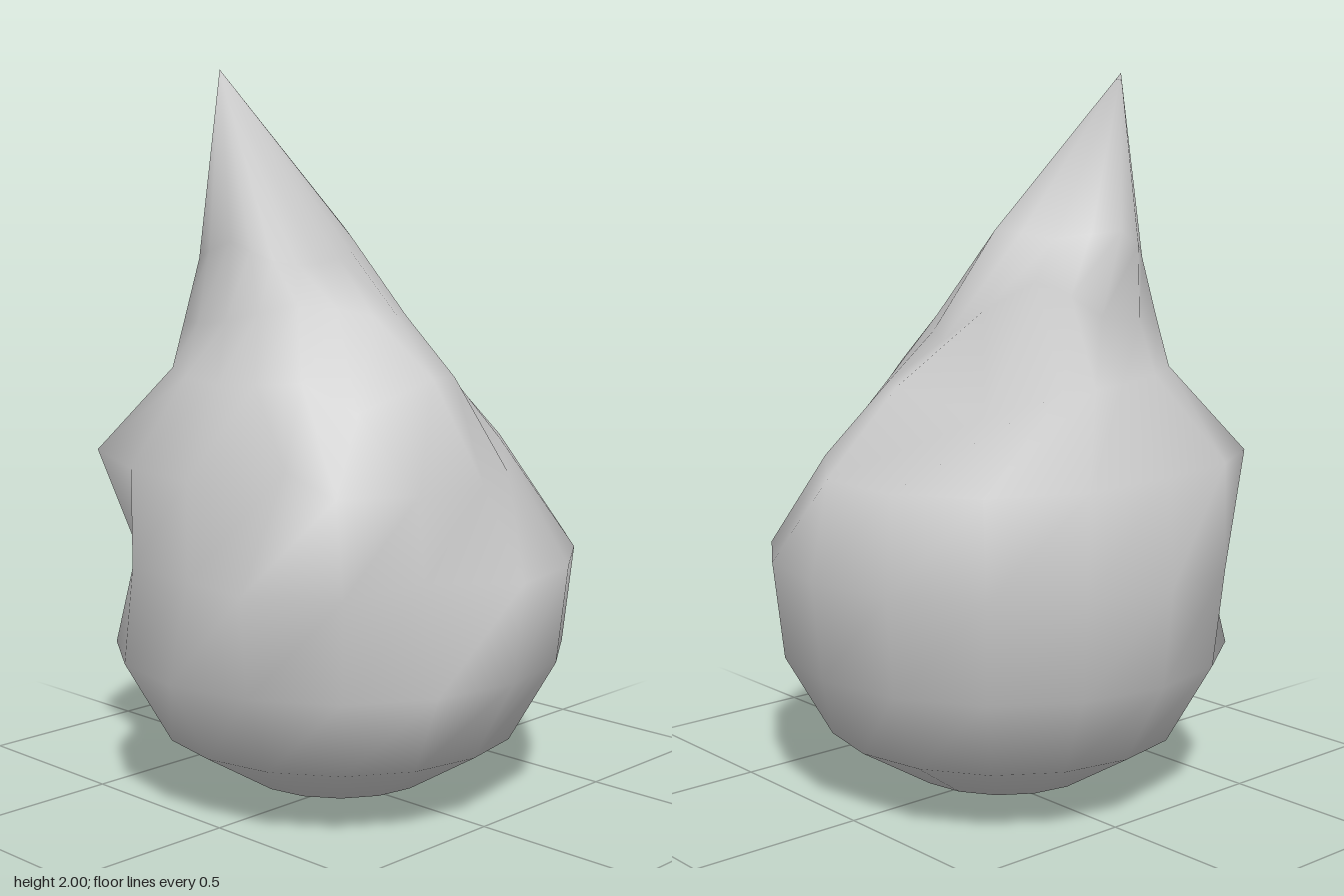
import * as THREE from 'three';

const SIDES = 16;

// Eight control points (right, then round by the front) become a ring of 16;
// pulls move single corners of it
function ringFrom(points, pulls = {}) {
  const curve = new THREE.CatmullRomCurve3(points.map(p => new THREE.Vector3(...p)), true);
  return pull(Array.from({ length: SIDES }, (_, k) => curve.getPoint(k / SIDES)), pulls);
}

// Horizontal circle on the round lower body
function ballRing(radius, y, pulls = {}) {
  const ring = Array.from({ length: SIDES }, (_, k) => {
    const a = k / SIDES * Math.PI * 2;
    return new THREE.Vector3(Math.cos(a) * radius - 0.02, y, Math.sin(a) * radius - 0.02);
  });
  return pull(ring, pulls);
}

function pull(ring, pulls) {
  for (const k in pulls) ring[k].set(...pulls[k]);
  return ring;
}

// Skin between rings, closed by a point at each end
function skin(rings, bottom, top) {
  const verts = [bottom, ...rings.flat(), top];
  const index = [], last = verts.length - 1;
  const at = (i, k) => 1 + i * SIDES + k % SIDES;
  for (let k = 0; k < SIDES; k++) {
    index.push(0, at(0, k), at(0, k + 1));
    for (let i = 0; i < rings.length - 1; i++) {
      index.push(at(i, k), at(i + 1, k), at(i, k + 1));
      index.push(at(i, k + 1), at(i + 1, k), at(i + 1, k + 1));
    }
    index.push(at(rings.length - 1, k), last, at(rings.length - 1, k + 1));
  }
  const g = new THREE.BufferGeometry().setFromPoints(verts);
  g.setIndex(index);
  g.computeVertexNormals();
  return g;
}

export function createModel() {
  const group = new THREE.Group();
  group.name = 'flameDrop';

  const rings = [
    // Round lower body
    ballRing(0.27, 0.05),
    ballRing(0.5, 0.19),
    ballRing(0.63, 0.42),
    // Widest ring, with a pit at the front and a hollow at the back left
    ballRing(0.66, 0.69, {
      5: [-0.2, 0.69, 0.46], 8: [-0.6, 0.69, 0], 9: [-0.57, 0.68, -0.26], 10: [-0.43, 0.69, -0.41] }),
    // Lumpy shoulders
    ringFrom([
      [0.57, 0.95, 0], [0.29, 1.0, 0.3], [-0.04, 0.93, 0.52], [-0.45, 0.93, 0.39],
      [-0.6, 0.95, 0], [-0.5, 0.97, -0.49], [-0.04, 0.97, -0.64], [0.44, 0.95, -0.47]], {
      3: [0.18, 0.93, 0.42], 5: [-0.27, 0.93, 0.5], 7: [-0.53, 1.0, 0.29],
      9: [-0.57, 0.95, -0.26], 13: [0.22, 0.96, -0.62] }),
    // Front ridge, with valleys beside it
    ringFrom([
      [0.34, 1.17, 0], [0.24, 1.17, 0.16], [-0.14, 1.21, 0.43], [-0.37, 1.2, 0.19],
      [-0.45, 1.18, -0.05], [-0.36, 1.2, -0.33], [-0.04, 1.19, -0.47], [0.17, 1.19, -0.46]], {
      5: [-0.26, 1.12, 0.28], 15: [0.22, 1.1, -0.22] }),
    // Neck
    ringFrom([
      [0.22, 1.29, -0.05], [0.1, 1.34, 0.12], [-0.14, 1.36, 0.22], [-0.29, 1.39, 0.09],
      [-0.38, 1.34, -0.09], [-0.36, 1.33, -0.28], [-0.05, 1.36, -0.38], [0.13, 1.46, -0.32]]),
    // Base of the leaning tip
    ringFrom([
      [0.08, 1.58, -0.1], [0, 1.52, 0], [-0.17, 1.49, 0.05], [-0.29, 1.5, 0],
      [-0.36, 1.55, -0.09], [-0.32, 1.5, -0.26], [-0.17, 1.58, -0.33], [-0.03, 1.56, -0.22]]),
  ];

  const flame = new THREE.Mesh(
    skin(rings, new THREE.Vector3(-0.04, 0, -0.02), new THREE.Vector3(-0.32, 2, -0.17)),
    new THREE.MeshStandardMaterial({ color: 0xcccccc }));
  flame.name = 'flame';
  group.add(flame);
  return group;
}
